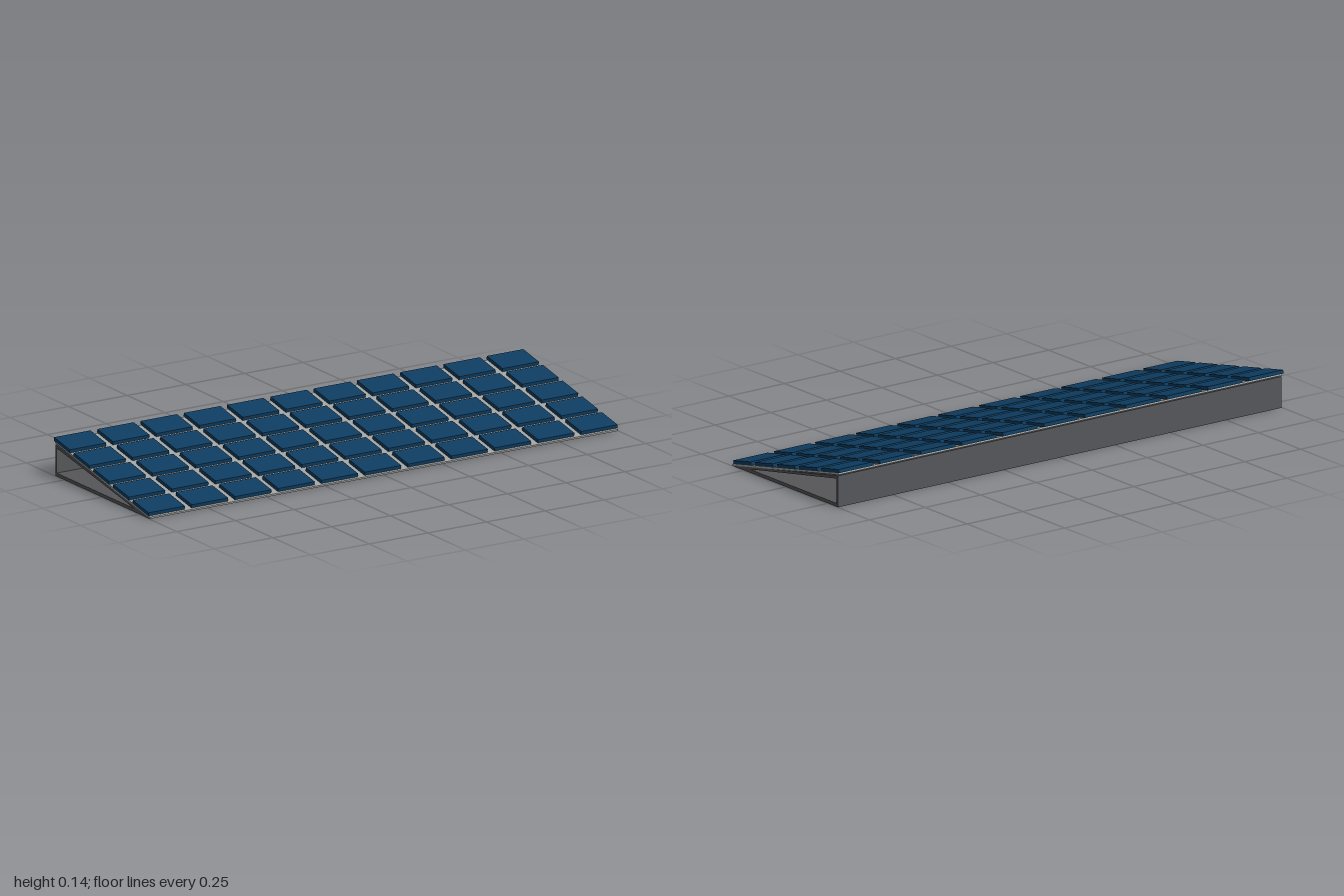
import * as THREE from 'three';

export function createModel() {
  const model = new THREE.Group();
  const frameMat = new THREE.MeshStandardMaterial({ color: 0x56575a });
  const plateMat = new THREE.MeshStandardMaterial({ color: 0xa3a3a1 });
  const panelMat = new THREE.MeshStandardMaterial({ color: 0x0e3d61 });

  // Hollow wedge frame: side profile (z, y) with a triangular opening, run along x
  const points = (list) => list.map(([z, y]) => new THREE.Vector2(-z, y));
  const profile = new THREE.Shape(points([[0.31, 0], [-0.31, 0], [-0.31, 0.118], [0.31, 0.004]]));
  profile.holes.push(new THREE.Path(points([[0.216, 0.0125], [-0.302, 0.106], [-0.302, 0.0125]])));
  const width = 1.996;
  const frameGeo = new THREE.ExtrudeGeometry(profile, { depth: width, bevelEnabled: false });
  frameGeo.translate(0, 0, -width / 2).rotateY(Math.PI / 2);
  const frame = new THREE.Mesh(frameGeo, frameMat);
  frame.name = 'wedgeFrame';
  model.add(frame);

  // Tilted deck carrying the panels
  const deck = new THREE.Group();
  deck.name = 'tiltedDeck';
  deck.position.set(0, 0.065, 0.003);
  deck.rotation.x = Math.atan2(0.122, 0.63);
  model.add(deck);

  const plate = new THREE.Mesh(new THREE.BoxGeometry(width, 0.007, 0.643), plateMat);
  plate.name = 'backingPlate';
  deck.add(plate);

  // Grid of solar panels, 11 across and 5 up the slope
  const columns = 11, rows = 5, pitchX = 0.1845, pitchZ = 0.1334;
  const panelGeo = new THREE.BoxGeometry(0.155, 0.0133, 0.1065);
  for (let r = 0; r < rows; r++) {
    for (let c = 0; c < columns; c++) {
      const panel = new THREE.Mesh(panelGeo, panelMat);
      panel.name = `solarPanel_${r + 1}_${c + 1}`;
      panel.position.set((c - (columns - 1) / 2) * pitchX, 0.0102, ((rows - 1) / 2 - r) * pitchZ - 0.008);
      deck.add(panel);
    }
  }
  return model;
}
